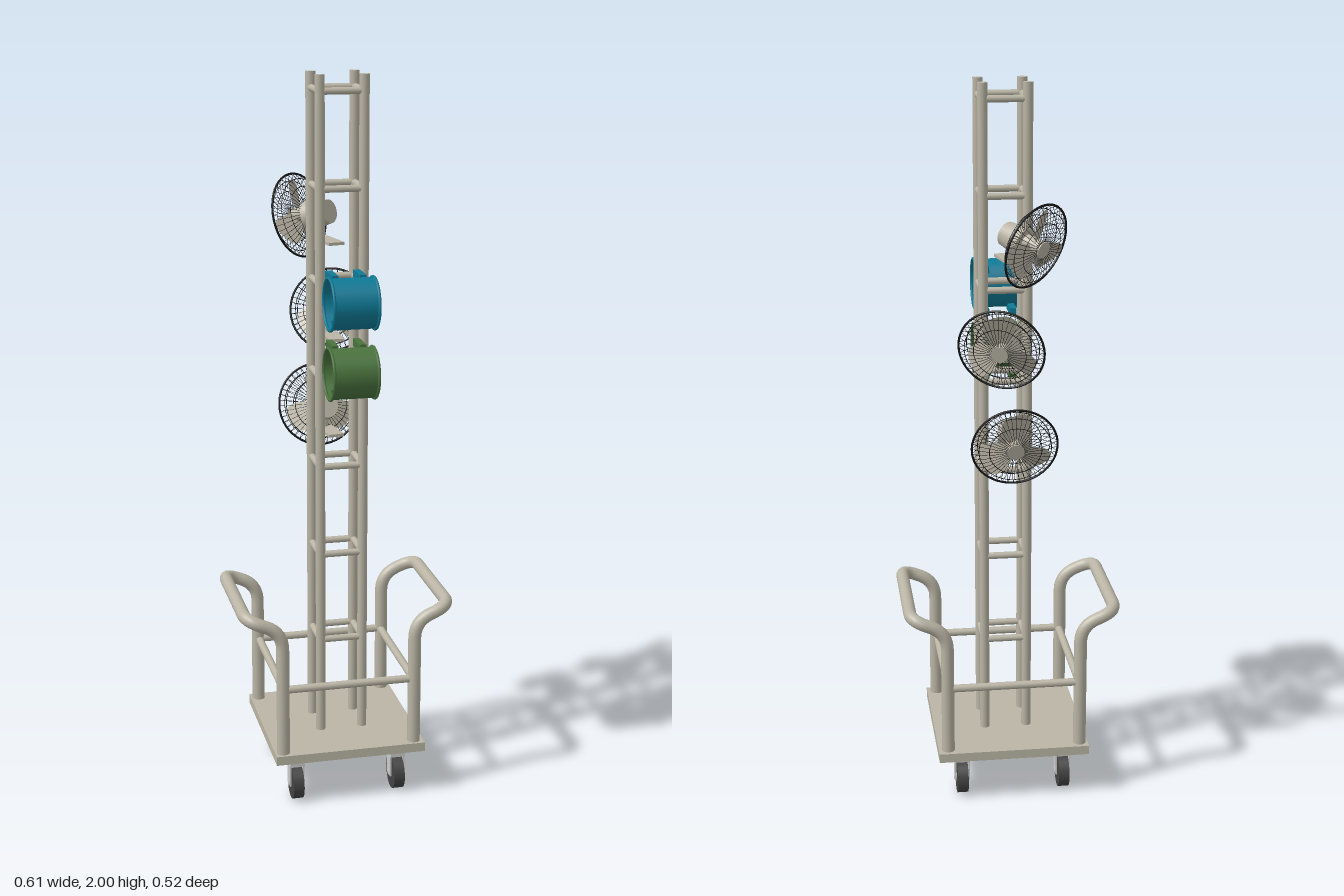
import * as THREE from 'three';
import { mergeGeometries } from 'three/addons/utils/BufferGeometryUtils.js';

const V = (x, y, z) => new THREE.Vector3(x, y, z);
const mat = (color, side = THREE.FrontSide) => new THREE.MeshStandardMaterial({ color, side });
const paint = mat(0xbab5a5);
const paintThin = mat(0xbab5a5, THREE.DoubleSide);
const metal = mat(0xcccccc);
const rubber = mat(0x444444);
const wire = mat(0x161616);

function add(parent, name, geometry, material, x = 0, y = 0, z = 0) {
  const mesh = new THREE.Mesh(geometry, material);
  mesh.name = name;
  mesh.position.set(x, y, z);
  parent.add(mesh);
  return mesh;
}

function group(parent, name, x = 0, y = 0, z = 0) {
  const g = new THREE.Group();
  g.name = name;
  g.position.set(x, y, z);
  parent.add(g);
  return g;
}

// Round bar between two points
function bar(parent, name, a, b, r, material = paint) {
  const mesh = add(parent, name, new THREE.CylinderGeometry(r, r, a.distanceTo(b), 14), material);
  mesh.position.copy(a).lerp(b, 0.5);
  mesh.quaternion.setFromUnitVectors(V(0, 1, 0), b.clone().sub(a).normalize());
}

// Four bars around a rectangle at one height
function ringOfBars(parent, name, x0, x1, z0, z1, y, r) {
  const c = [V(x0, y, z0), V(x1, y, z0), V(x1, y, z1), V(x0, y, z1)];
  c.forEach((p, i) => bar(parent, name, p, c[(i + 1) % 4], r));
}

// Straight runs joined by rounded corners
function roundedPath(points, r) {
  const path = new THREE.CurvePath();
  let from = points[0];
  for (let i = 1; i < points.length - 1; i++) {
    const p = points[i];
    const a = p.clone().add(points[i - 1].clone().sub(p).setLength(r));
    const b = p.clone().add(points[i + 1].clone().sub(p).setLength(r));
    path.add(new THREE.LineCurve3(from, a));
    path.add(new THREE.QuadraticBezierCurve3(a, p, b));
    from = b;
  }
  path.add(new THREE.LineCurve3(from, points[points.length - 1]));
  return path;
}

// Petal-shaped fan blade pointing along +y in the xy plane, pitched about its length
function bladeGeometry(inner, outer, width) {
  const s = new THREE.Shape();
  s.moveTo(-width * 0.2, inner);
  s.bezierCurveTo(-width * 0.7, outer * 0.65, -width * 0.6, outer, 0, outer);
  s.bezierCurveTo(width * 0.6, outer, width * 0.7, outer * 0.65, width * 0.2, inner);
  return new THREE.ShapeGeometry(s, 8).rotateY(0.4);
}

function blades(parent, name, count, inner, outer, width, material) {
  for (let i = 0; i < count; i++) {
    const g = bladeGeometry(inner, outer, width).rotateZ((i / count) * Math.PI * 2);
    add(parent, name, g, material);
  }
}

// Wire guard: rim at z = 0, shallow dome to -z, deeper dome to +z
function cageGeometry(R) {
  const parts = [];
  const spokes = 44;
  for (const [rIn, depth] of [[0.022, -0.024], [0.034, 0.036]]) {
    const curve = new THREE.QuadraticBezierCurve3(V(R, 0, 0), V(R * 0.8, 0, depth), V(rIn, 0, depth));
    for (let i = 0; i < spokes; i++) {
      parts.push(new THREE.TubeGeometry(curve, 6, 0.0007, 3).rotateZ((i / spokes) * Math.PI * 2));
    }
    for (const t of [0.3, 0.6, 1]) {
      const p = curve.getPoint(t);
      parts.push(new THREE.TorusGeometry(p.x, 0.001, 4, 36).translate(0, 0, p.z));
    }
  }
  return mergeGeometries(parts);
}

// Guarded fan blowing to -z, turned by yaw and tipped downward
function cageFan(parent, x, y, z, yaw, shelfY, cage) {
  const fan = group(parent, 'cageFan', x, y, z);
  fan.rotation.set(-0.27, yaw, 0, 'YXZ');
  add(fan, 'guardWires', cage, wire);
  add(fan, 'guardRim', new THREE.TorusGeometry(0.116, 0.003, 8, 48), wire);
  add(fan, 'guardCap', new THREE.CylinderGeometry(0.023, 0.023, 0.004, 24).rotateX(Math.PI / 2), paint, 0, 0, -0.025);
  add(fan, 'fanHub', new THREE.CylinderGeometry(0.02, 0.02, 0.05, 20).rotateX(Math.PI / 2), paint, 0, 0, 0.008);
  blades(fan, 'fanBlade', 3, 0.015, 0.1, 0.085, paintThin);
  add(fan, 'motorHousing', new THREE.CylinderGeometry(0.033, 0.043, 0.07, 28).rotateX(Math.PI / 2), paint, 0, -0.008, 0.07);

  // Neck and flat shelf that tie the motor back to the tower
  const mx = x + Math.sin(yaw) * 0.07;
  const mz = z + Math.cos(yaw) * 0.07;
  bar(parent, 'fanNeck', V(mx, shelfY, mz), V(mx, y, mz), 0.012);
  const end = V(0.014, shelfY, -0.015);
  const start = V(mx, shelfY, mz);
  const shelf = add(parent, 'fanShelf', new THREE.BoxGeometry(0.045, 0.008, start.distanceTo(end)), paint);
  shelf.position.copy(start).lerp(end, 0.5);
  shelf.rotation.y = Math.atan2(end.x - start.x, end.z - start.z);
}

// Open drum fan lying along x, held by four arms
function drumFan(parent, y, color) {
  const solid = mat(color);
  const thin = mat(color, THREE.DoubleSide);
  const fan = group(parent, 'drumFan', 0.008, y, 0.186);
  add(fan, 'drumShell', new THREE.CylinderGeometry(0.068, 0.068, 0.12, 40, 1, true).rotateZ(Math.PI / 2), thin);
  for (const s of [-1, 1]) {
    add(fan, 'drumRim', new THREE.TorusGeometry(0.069, 0.004, 8, 40).rotateY(Math.PI / 2), solid, s * 0.06, 0, 0);
    for (const t of [-1, 1]) {
      add(fan, 'drumArm', new THREE.BoxGeometry(0.018, 0.02, 0.08), solid, s * 0.038, t * 0.06, -0.066);
    }
  }
  const rotor = group(fan, 'drumRotor');
  rotor.rotation.y = Math.PI / 2;
  add(rotor, 'drumHub', new THREE.CylinderGeometry(0.017, 0.017, 0.08, 20).rotateX(Math.PI / 2), solid);
  blades(rotor, 'drumBlade', 6, 0.012, 0.064, 0.036, thin);
}

export function createModel() {
  const model = new THREE.Group();
  model.name = 'fanTowerTrolley';

  // Trolley deck
  add(model, 'platform', new THREE.BoxGeometry(0.425, 0.026, 0.432), paint, 0.002, 0.143, 0.013);

  // Casters
  for (const x of [-0.145, 0.145]) {
    for (const z of [-0.13, 0.17]) {
      const caster = group(model, 'caster', x, 0, z);
      add(caster, 'casterWheel', new THREE.CylinderGeometry(0.048, 0.048, 0.03, 28).rotateZ(Math.PI / 2), rubber, 0, 0.048, 0);
      add(caster, 'casterAxle', new THREE.CylinderGeometry(0.01, 0.01, 0.044, 12).rotateZ(Math.PI / 2), metal, 0, 0.048, 0);
      add(caster, 'casterTop', new THREE.BoxGeometry(0.042, 0.028, 0.05), metal, 0, 0.116, 0);
      for (const s of [-1, 1]) {
        add(caster, 'casterFork', new THREE.BoxGeometry(0.004, 0.075, 0.036), metal, s * 0.019, 0.078, 0);
      }
    }
  }

  // Flared push handles and the rails between their legs
  for (const s of [-1, 1]) {
    const path = roundedPath([
      V(s * 0.187, 0.15, 0.204), V(s * 0.187, 0.515, 0.204), V(s * 0.286, 0.556, 0.204),
      V(s * 0.286, 0.556, -0.175), V(s * 0.187, 0.515, -0.175), V(s * 0.187, 0.15, -0.175),
    ], 0.05);
    add(model, 'pushHandle', new THREE.TubeGeometry(path, 110, 0.018, 14), paint);
  }
  ringOfBars(model, 'handleRail', -0.184, 0.184, -0.175, 0.204, 0.345, 0.011);

  // Lattice tower
  const [x0, x1, z0, z1] = [-0.052, 0.068, -0.041, 0.073];
  for (const x of [x0, x1]) {
    for (const z of [z0, z1]) bar(model, 'towerPost', V(x, 0.15, z), V(x, 2, z), 0.0135);
  }
  for (let i = 0; i < 7; i++) ringOfBars(model, 'towerRung', x0, x1, z0, z1, 0.43 + i * 0.2545, 0.0095);

  // Drum fans on the front, guarded fans on the back
  drumFan(model, 1.417, 0x0f7a96);
  drumFan(model, 1.229, 0x4a733e);
  const cage = cageGeometry(0.116);
  cageFan(model, -0.055, 1.595, -0.18, 0.73, 1.54, cage);
  cageFan(model, 0.037, 1.322, -0.188, -0.35, 1.272, cage);
  cageFan(model, 0, 1.05, -0.18, 0, 1.0, cage);

  return model;
}
